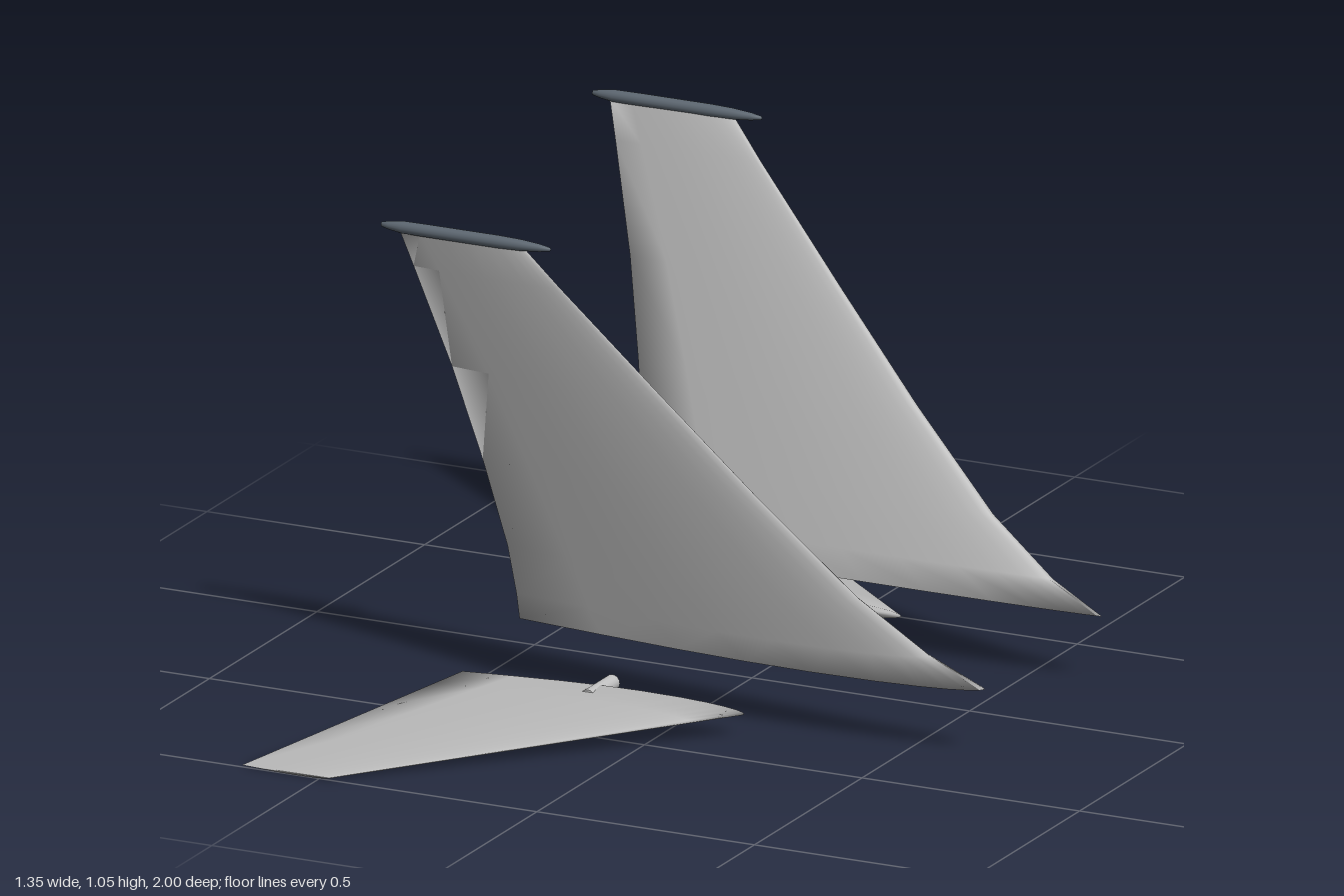
import * as THREE from 'three';

const skin = new THREE.MeshStandardMaterial({ color: 0xb9b9b9 });
skin.name = 'light grey skin';
const slate = new THREE.MeshStandardMaterial({ color: 0x5c6670 });
slate.name = 'slate pod';
const metal = new THREE.MeshStandardMaterial({ color: 0xc2c2c2 });
metal.name = 'pale metal';

// Half thickness of the aerofoil along the chord: [distance from nose, share of maximum]
const foil = [[0, 0], [0.008, 0.2], [0.03, 0.4], [0.07, 0.6], [0.13, 0.78], [0.22, 0.93],
  [0.36, 1], [0.5, 0.93], [0.65, 0.73], [0.82, 0.4], [1, 0]];

// Closed loop running from tail over one side to the nose and back along the other
const loop = [...foil].reverse().concat(foil.slice(1, -1).map(([u, t]) => [u, -t]));

// Lofts the aerofoil through stations [noseX, tailX, y, z, halfThickness], mirrored by side
function wing(stations, side) {
  const first = stations[0], last = stations[stations.length - 1];
  const dy = last[2] - first[2], dz = last[3] - first[3], len = Math.hypot(dy, dz);
  const ny = dz / len, nz = -dy / len;
  const n = loop.length, pos = [], index = [];
  const tri = (a, b, c) => index.push(...(side > 0 ? [a, b, c] : [a, c, b]));
  for (const [nose, tail, y, z, half] of stations) {
    for (const [u, t] of loop) {
      pos.push(nose + (tail - nose) * u, y + ny * t * half, side * (z + nz * t * half));
    }
  }
  for (let j = 0; j < stations.length - 1; j++) {
    for (let i = 0; i < n; i++) {
      const a = j * n + i, b = j * n + (i + 1) % n;
      tri(a, a + n, b);
      tri(b, a + n, b + n);
    }
  }
  // End caps share the rim so the shading rolls over the edges
  const top = (stations.length - 1) * n;
  for (let i = 1; i < n - 1; i++) {
    tri(0, i, i + 1);
    tri(top, top + i + 1, top + i);
  }
  const g = new THREE.BufferGeometry();
  g.setAttribute('position', new THREE.Float32BufferAttribute(pos, 3));
  g.setIndex(index);
  g.computeVertexNormals();
  return g;
}

// Canted fin outline: [noseX, tailX, y]
const finStations = [[0.67, -0.4, 0.15], [0.55, -0.4, 0.21], [0.4, -0.407, 0.32],
  [0.2, -0.44, 0.515], [0, -0.485, 0.725], [-0.21, -0.546, 0.95], [-0.285, -0.57, 1.035]]
  .map(([nose, tail, y]) => {
    const k = (y - 0.15) / 0.885;
    return [nose, tail, y, 0.272 + 0.218 * k, 0.034 - 0.027 * k];
  });

// Drooping tailplane, straight tapered from root to tip
const planeStations = [0, 0.13, 0.4, 0.7, 1].map((k) => [
  0.163 - 0.64 * k, -0.485 - 0.193 * k, 0.051 - 0.047 * k, 0.365 + 0.635 * k, 0.017 - 0.013 * k]);

// Spindle pod profile: [radius, x]
const podProfile = [[0, -0.61], [0.005, -0.608], [0.009, -0.59], [0.013, -0.56], [0.0135, -0.5],
  [0.0135, -0.34], [0.012, -0.29], [0.008, -0.245], [0.004, -0.222], [0, -0.219]]
  .map(([r, x]) => new THREE.Vector2(r, x));

export function createModel() {
  const model = new THREE.Group();
  model.name = 'tailAssembly';
  const add = (name, geometry, material) => {
    const mesh = new THREE.Mesh(geometry, material);
    mesh.name = name;
    model.add(mesh);
    return mesh;
  };
  for (const side of [1, -1]) {
    const label = side > 0 ? 'left' : 'right';
    add(label + 'Fin', wing(finStations, side), skin);
    add(label + 'Tailplane', wing(planeStations, side), skin);

    // Pod along the fin tip
    const pod = new THREE.LatheGeometry(podProfile, 16).rotateZ(-Math.PI / 2);
    add(label + 'FinTipPod', pod, slate).position.set(0, 1.038, side * 0.491);

    // Pivot shaft at the tailplane root
    const shaft = new THREE.CylinderGeometry(0.017, 0.017, 0.115, 16).rotateX(Math.PI / 2);
    add(label + 'PivotShaft', shaft, metal).position.set(-0.175, 0.051, side * 0.3525);
  }
  return model;
}
